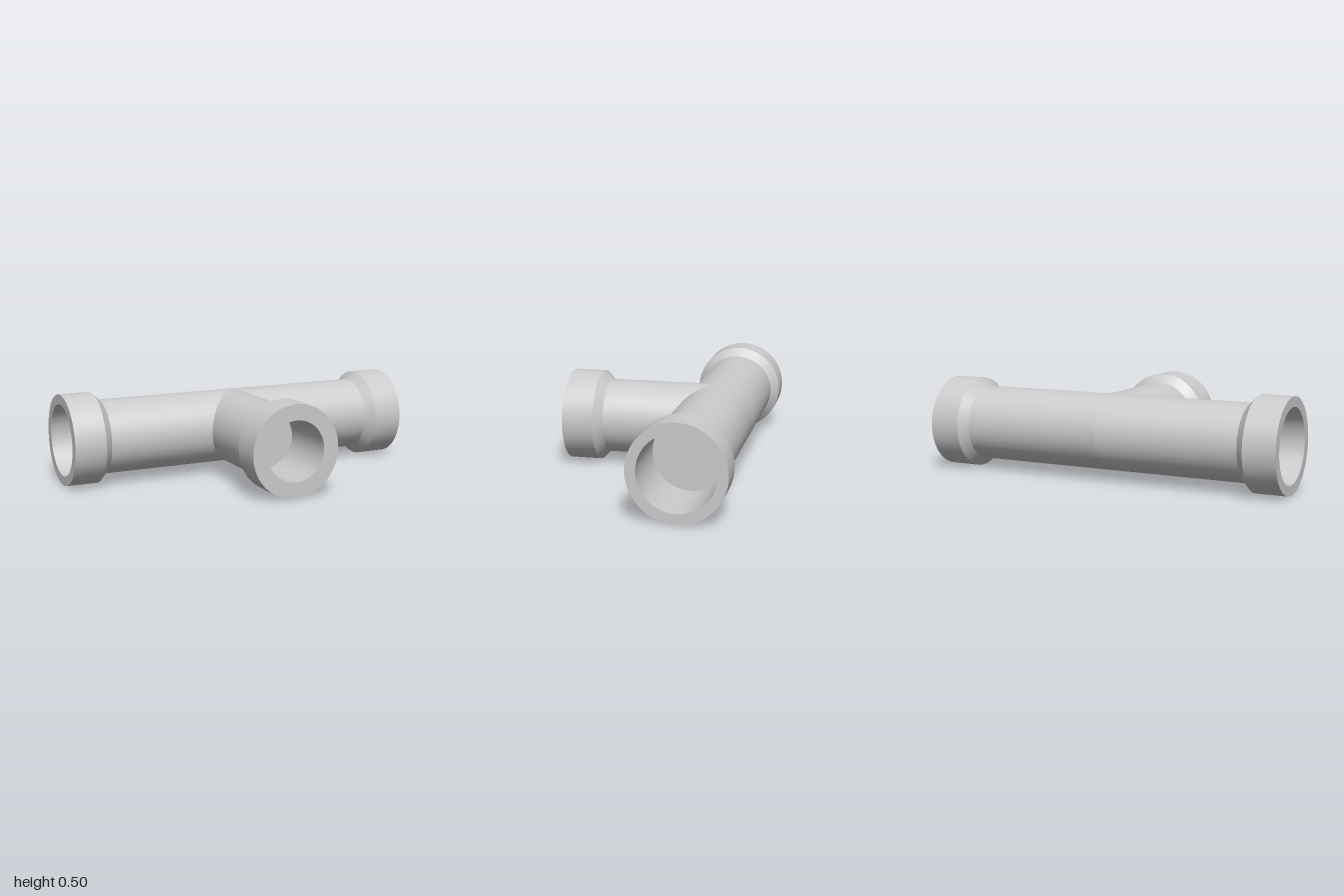
import * as THREE from 'three';
import { toCreasedNormals } from 'three/addons/utils/BufferGeometryUtils.js';

const AXIS_Y = 0.248, RUN_Z = -0.275;
const COLLAR_R = 0.248, COLLAR_LEN = 0.17, BEVEL_LEN = 0.045, SOCKET_DEPTH = 0.35;

// One pipe arm along +y: tube, bevel, collar, end ring and recessed socket
function armGeometry(length, tubeR, boreR) {
  const collarStart = length - COLLAR_LEN;
  const profile = [
    [tubeR, 0],
    [tubeR, collarStart - BEVEL_LEN],
    [COLLAR_R, collarStart],
    [COLLAR_R, length],
    [boreR, length],
    [boreR, length - SOCKET_DEPTH],
    [0, length - SOCKET_DEPTH],
  ].map(([r, y]) => new THREE.Vector2(r, y));
  return toCreasedNormals(new THREE.LatheGeometry(profile, 40), 0.6);
}

export function createModel() {
  const group = new THREE.Group();
  group.name = 'pipeTee';
  const material = new THREE.MeshStandardMaterial({ color: 0xcccccc });

  const addArm = (name, geometry) => {
    const mesh = new THREE.Mesh(geometry, material);
    mesh.name = name;
    mesh.position.set(0, AXIS_Y, RUN_Z);
    group.add(mesh);
    return mesh;
  };

  // Straight run: two mirrored arms meeting at the centre
  const runGeometry = armGeometry(1, 0.203, 0.195);
  addArm('leftRunArm', runGeometry).rotation.z = -Math.PI / 2;
  addArm('rightRunArm', runGeometry).rotation.z = Math.PI / 2;

  // Branch towards the front, starting inside the run
  addArm('branchArm', armGeometry(0.798, 0.202, 0.163)).rotation.x = Math.PI / 2;

  return group;
}
